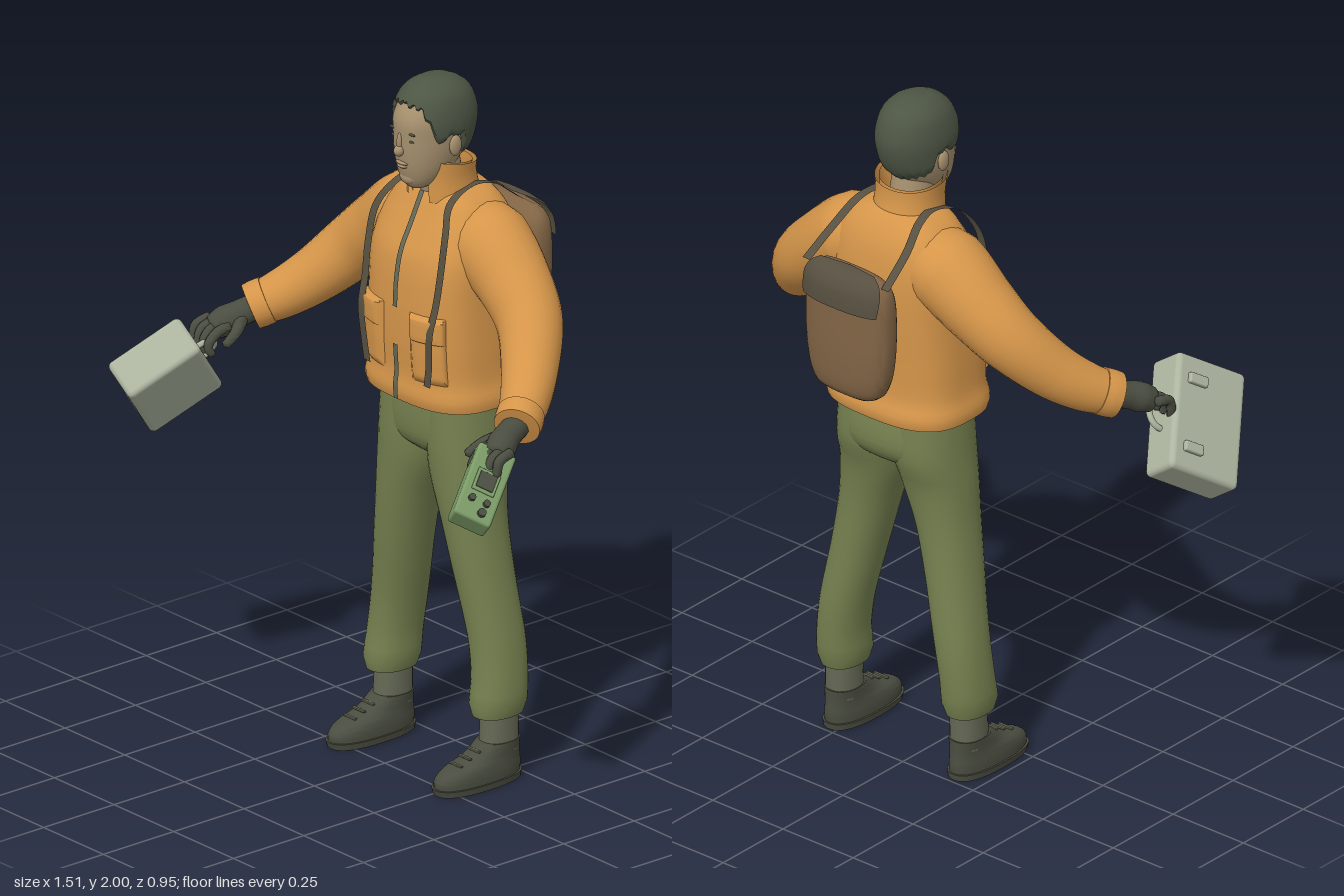
import * as THREE from 'three';
import { toCreasedNormals } from 'three/addons/utils/BufferGeometryUtils.js';
import { RoundedBoxGeometry } from 'three/addons/geometries/RoundedBoxGeometry.js';
import { ParametricGeometry } from 'three/addons/geometries/ParametricGeometry.js';

const CX = 0.05; // body centre line
const V = (x, y, z) => new THREE.Vector3(x, y, z);

function material(name, color) {
  const m = new THREE.MeshStandardMaterial({ color, side: THREE.DoubleSide });
  m.name = name;
  return m;
}

// Cross-section rows are [y, offset of centre in x, front z, back z, half width]
function section(rows, y) {
  const n = rows.length - 1;
  let i = 0;
  while (i < n - 1 && y > rows[i + 1][0]) i++;
  const h = rows[i + 1][0] - rows[i][0];
  const t = THREE.MathUtils.clamp((y - rows[i][0]) / h, 0, 1);
  const slope = (k, c) => {
    const a = rows[Math.max(k - 1, 0)], b = rows[Math.min(k + 1, n)];
    return (b[c] - a[c]) / (b[0] - a[0]);
  };
  return [1, 2, 3, 4].map((c) => {
    const t2 = t * t, t3 = t2 * t;
    return rows[i][c] * (2 * t3 - 3 * t2 + 1) + rows[i + 1][c] * (3 * t2 - 2 * t3)
      + h * (slope(i, c) * (t3 - 2 * t2 + t) + slope(i + 1, c) * (t3 - t2));
  });
}

const bend = (v, n) => Math.sign(v) * Math.pow(Math.abs(v), 2 / n);

// Part of a lofted surface; rule(u, v) gives [angle, y, outward offset, scale, lift]
function patch(rows, n, rule, su, sv, crease = 0.9) {
  const g = new ParametricGeometry((u, v, out) => {
    const [a, y, off = 0, k = 1, lift = 0] = rule(u, v);
    const [c, zf, zb, rx] = section(rows, y);
    out.set(CX + c + k * (rx * bend(Math.sin(a), n) + off * Math.sin(a)), y + lift,
      (zf + zb) / 2 + k * ((zf - zb) / 2 * bend(Math.cos(a), n) + off * Math.cos(a)));
  }, su, sv);
  return toCreasedNormals(g, crease);
}

// Closed loft with flat ends
function loft(rows, n = 2.2, sides = 32, steps = 28) {
  const y0 = rows[0][0], y1 = rows[rows.length - 1][0];
  return patch(rows, n, (u, v) => {
    const k = v * (steps + 2);
    const t = THREE.MathUtils.clamp((k - 1) / steps, 0, 1);
    return [u * Math.PI * 2, y0 + (y1 - y0) * t, 0, k < 0.5 || k > steps + 1.5 ? 0 : 1];
  }, sides, steps + 2);
}

// Tube of changing radius with closed ends
function limb(points, radii, segments = 24, sides = 16) {
  const curve = new THREE.CatmullRomCurve3(points);
  const g = new THREE.TubeGeometry(curve, segments, 1, sides);
  const p = g.attributes.position, v = V(), last = radii.length - 1;
  for (let i = 0; i <= segments; i++) {
    const u = i / segments, c = curve.getPointAt(u), f = curve.getUtoTmapping(u) * last;
    const k = Math.min(Math.floor(f), last - 1);
    const r = i % segments === 0 ? 0 : THREE.MathUtils.lerp(radii[k], radii[k + 1], f - k);
    for (let j = 0; j <= sides; j++) {
      const id = i * (sides + 1) + j;
      v.fromBufferAttribute(p, id).sub(c).multiplyScalar(r).add(c);
      p.setXYZ(id, v.x, v.y, v.z);
    }
  }
  return toCreasedNormals(g, 1.2);
}

// Flat band following a path, spread in x
function ribbon(points, width, steps = 40) {
  const curve = new THREE.CatmullRomCurve3(points);
  return new ParametricGeometry((u, v, out) => {
    curve.getPoint(1 - v, out);
    out.x += (u - 0.5) * width;
  }, 1, steps);
}

const torso = [[1.085, 0, -0.005, -0.335, 0.222], [1.11, 0, 0.002, -0.34, 0.225], [1.16, 0, -0.005, -0.325, 0.212],
  [1.26, 0, 0, -0.325, 0.208], [1.38, 0, 0, -0.33, 0.205], [1.5, 0, -0.014, -0.33, 0.205], [1.58, 0, -0.05, -0.32, 0.195],
  [1.63, 0, -0.075, -0.305, 0.17], [1.665, 0, -0.09, -0.285, 0.14], [1.688, 0, -0.105, -0.265, 0.1]];
const headRows = [[1.695, 0, -0.05, -0.11, 0.025], [1.71, 0, -0.034, -0.14, 0.046], [1.75, 0, -0.02, -0.185, 0.069],
  [1.8, 0, -0.012, -0.225, 0.083], [1.85, 0, -0.01, -0.245, 0.089], [1.9, 0, -0.012, -0.25, 0.09],
  [1.95, 0, -0.04, -0.232, 0.077], [1.975, 0, -0.068, -0.205, 0.055], [1.99, 0, -0.1, -0.17, 0.025]];
const packRows = [[1.19, 0, -0.38, -0.425, 0.07], [1.215, 0, -0.358, -0.455, 0.11], [1.3, 0, -0.345, -0.467, 0.138],
  [1.45, 0, -0.345, -0.467, 0.146], [1.53, 0, -0.355, -0.462, 0.14], [1.565, 0, -0.375, -0.445, 0.12], [1.582, 0, -0.395, -0.425, 0.09]];

// Point in front of the jacket, d from the centre line
function onFront(d, y, off = 0.01) {
  const [, zf, zb, rx] = section(torso, y);
  const q = Math.min(Math.abs(d) / rx, 0.98);
  return V(CX + d, y, (zf + zb) / 2 + (zf - zb) / 2 * Math.pow(1 - Math.pow(q, 2.8), 1 / 2.8) + off);
}

export function createModel() {
  const root = new THREE.Group();
  root.name = 'fieldWorker';
  const skin = material('skin', 0xa6906e), hair = material('hair', 0x4d5544), orange = material('jacketOrange', 0xd6964a);
  const olive = material('trouserOlive', 0x75804f), dark = material('gloveAndShoeDark', 0x4a4d40);
  const pale = material('casePale', 0xadb5a0), green = material('deviceGreen', 0x7a9a66);
  const brown = material('packBrown', 0x816445), strapMat = material('strapBrown', 0x575041), grey = material('zipGrey', 0x646854);

  const add = (name, geo, mat, parent = root, pos) => {
    const m = new THREE.Mesh(geo, mat);
    m.name = name;
    if (pos) m.position.set(...pos);
    parent.add(m);
    return m;
  };
  const ball = (name, mat, pos, size) => add(name, new THREE.SphereGeometry(1, 16, 12), mat, root, pos).scale.set(...size);
  const box = (name, size, mat, parent, pos, r = 0.008) => add(name, new RoundedBoxGeometry(...size, 3, r), mat, parent, pos);

  // Head and face
  add('head', loft(headRows, 2.1), skin);
  add('neck', loft([[1.64, 0, -0.1, -0.23, 0.06], [1.8, 0, -0.07, -0.2, 0.06]], 2, 24, 6), skin);
  ball('nose', skin, [CX, 1.813, -0.008], [0.014, 0.016, 0.016]);
  ball('noseBridge', skin, [CX, 1.838, -0.012], [0.008, 0.028, 0.011]);
  ball('upperLip', skin, [CX, 1.776, -0.019], [0.024, 0.006, 0.011]);
  ball('lowerLip', skin, [CX, 1.766, -0.021], [0.02, 0.006, 0.012]);
  ball('chin', skin, [CX, 1.728, -0.04], [0.03, 0.02, 0.017]);
  for (const s of [-1, 1]) {
    ball('eye', hair, [CX + s * 0.035, 1.846, -0.0205], [0.012, 0.0035, 0.004]);
    ball('eyebrow', hair, [CX + s * 0.036, 1.868, -0.0195], [0.018, 0.0035, 0.004]);
    ball('ear', skin, [CX + s * 0.093, 1.825, -0.13], [0.011, 0.03, 0.02]);
  }

  // Short hair with a slightly ragged hairline
  const line = [[0, 1.94], [0.6, 1.935], [0.9, 1.9], [1.2, 1.83], [1.4, 1.855], [1.75, 1.85], [2.0, 1.79], [3.2, 1.765]];
  add('hair', patch(headRows, 2.1, (u, v) => {
    const a = (u - 0.5) * Math.PI * 2, b = Math.abs(a);
    let i = 0;
    while (b > line[i + 1][0]) i++;
    const low = THREE.MathUtils.mapLinear(b, line[i][0], line[i + 1][0], line[i][1], line[i + 1][1]) + 0.005 * Math.sin(b * 22);
    const y = Math.min(low + (1.99 - low) * v / 0.95, 1.99);
    return [a, y, 0.011 * Math.min(1, v * 12), v > 0.99 ? 0 : 1, 0.01 * THREE.MathUtils.clamp((y - 1.92) / 0.07, 0, 1)];
  }, 96, 20, 0.8), hair);

  // Jacket body, open collar and zip
  add('jacketBody', loft(torso, 2.8, 48, 36), orange);
  const collarRows = [[1.655, 0, -0.07, -0.265, 0.1], [1.72, 0, -0.07, -0.25, 0.097], [1.785, 0, -0.065, -0.248, 0.106]];
  for (const off of [0, -0.012]) {
    add('collar', patch(collarRows, 2.1, (u, v) => {
      const a = 0.42 + u * (Math.PI * 2 - 0.84);
      return [a, 1.655 + v * (0.112 + 0.014 * Math.cos(a)), off];
    }, 40, 8), orange);
  }
  for (const [y0, y1] of [[1.675, 1.36], [1.25, 1.09]]) {
    add('zip', ribbon([0, 0.25, 0.5, 0.75, 1].map((t) => onFront(0, y0 + (y1 - y0) * t, 0.006)), 0.018), grey);
  }
  for (const s of [-1, 1]) {
    // Padded pockets and their flaps
    for (const [name, y0, y1, puff] of [['pocket', 1.16, 1.33, 0.014], ['pocketFlap', 1.28, 1.36, 0.022]]) {
      add(name, patch(torso, 2.8, (u, v) => {
        const edge = Math.min(1, 9 * Math.min(u, 1 - u, v, 1 - v));
        return [s * 0.48 + (u - 0.5) * 0.66, y0 + (y1 - y0) * v, -0.002 + puff * edge];
      }, 20, 20), orange);
    }

    // Sleeve and cuff
    const P = (d, y, z) => V(CX + s * d, y, z);
    add('sleeve', limb([P(0.06, 1.56, -0.2), P(0.16, 1.538, -0.195), P(0.27, 1.462, -0.188), P(0.36, 1.385, -0.165),
      P(0.45, 1.285, -0.09), P(0.51, 1.228, -0.02), P(0.56, 1.193, 0.05)],
    [0.1, 0.119, 0.104, 0.092, 0.078, 0.068, 0.056], 48, 24), orange);
    add('cuff', limb([P(0.528, 1.215, 0.005), P(0.545, 1.203, 0.028), P(0.56, 1.192, 0.05)], [0.066, 0.067, 0.064], 12, 24), orange);

    // Gloved hand
    add('palm', limb([P(0.545, 1.2, 0.02), P(0.565, 1.18, 0.085), P(0.58, 1.165, 0.12), P(0.595, 1.145, 0.155)],
      [0.036, 0.038, 0.043, 0.034], 20), dark);
    for (let i = 0; i < 4; i++) {
      const d = 0.548 + 0.028 * i;
      add('finger', limb([P(d, 1.165, 0.125), P(d + 0.004, 1.15, 0.175), P(d + 0.004, 1.12, 0.202 - 0.006 * i), P(d - 0.004, 1.09, 0.19)],
        [0.015, 0.0145, 0.013, 0.011], 16, 10), dark);
    }
    add('thumb', limb([P(0.545, 1.175, 0.09), P(0.515, 1.155, 0.135), P(0.505, 1.13, 0.185)], [0.02, 0.016, 0.012], 16, 10), dark);

    // Trouser leg
    add('trouserLeg', loft([[0.195, 0.222, -0.095, -0.245, 0.056], [0.22, 0.222, -0.087, -0.255, 0.066], [0.3, 0.219, -0.097, -0.262, 0.065],
      [0.4, 0.205, -0.1, -0.265, 0.067], [0.5, 0.185, -0.092, -0.26, 0.07], [0.6, 0.165, -0.08, -0.255, 0.073],
      [0.75, 0.135, -0.065, -0.255, 0.082], [0.88, 0.108, -0.055, -0.272, 0.1], [0.96, 0.1, -0.05, -0.3, 0.1],
      [1.1, 0.09, -0.05, -0.3, 0.1]].map((r) => [r[0], s * r[1], r[2], r[3], r[4]])), olive);

    // Ankle, shoe, sole and laces
    const c = s * 0.222;
    add('ankle', loft([[0.09, c, -0.115, -0.232, 0.046], [0.23, c, -0.125, -0.23, 0.047]], 2.2, 24, 4), grey);
    add('shoe', loft([[0.015, c, 0.046, -0.238, 0.056], [0.045, c, 0.043, -0.24, 0.056], [0.065, c, 0.015, -0.238, 0.053],
      [0.085, c, -0.05, -0.236, 0.049], [0.12, c, -0.108, -0.236, 0.048]], 2.3), dark);
    add('sole', loft([[0.003, c, 0.046, -0.24, 0.058], [0.022, c, 0.052, -0.243, 0.061]], 2.4, 32, 2), dark);
    for (let i = 0; i < 3; i++) {
      box('lace', [0.05, 0.006, 0.009], grey, root, [CX + c, 0.079 + 0.013 * i, -0.022 - 0.032 * i], 0.002);
    }

    // Shoulder strap from the pack over the shoulder and down the chest
    add('strap', ribbon([P(0.14, 1.565, -0.43), P(0.128, 1.635, -0.325), P(0.11, 1.69, -0.25), P(0.1, 1.7, -0.18), P(0.115, 1.665, -0.09),
      P(0.145, 1.6, -0.05), ...[[0.152, 1.5, 0.015], [0.148, 1.4, 0.016], [0.143, 1.32, 0.028], [0.135, 1.22, 0.022], [0.125, 1.16, 0.018]]
        .map(([d, y, o]) => onFront(s * d, y, o))], 0.027, 60), strapMat);
  }

  // Seat of the trousers
  add('trouserSeat', loft([[0.91, 0, -0.1, -0.23, 0.06], [0.945, 0, -0.06, -0.29, 0.165], [1.0, 0, -0.045, -0.315, 0.188],
    [1.11, 0, -0.045, -0.3, 0.185]], 2.4), olive);

  // Backpack with its lid
  add('backpack', loft(packRows, 2.6, 40, 30), brown);
  add('packLid', patch(packRows, 2.6, (u, v) => {
    const a = Math.PI + (u - 0.5) * (1.8 + v * 0.6);
    return [a, 1.475 + 0.107 * Math.min(1, v / 0.9), 0.012, v > 0.95 ? 0 : 1, 0.006];
  }, 28, 20), strapMat);

  // Held items are turned by two axes and a centre
  const held = (name, x, y, pos) => {
    const g = new THREE.Group(), ax = x.normalize(), az = V().crossVectors(ax, y).normalize();
    g.name = name;
    g.quaternion.setFromRotationMatrix(new THREE.Matrix4().makeBasis(ax, V().crossVectors(az, ax), az));
    g.position.copy(pos);
    root.add(g);
    return g;
  };

  // Carrying case with latches and handle
  const kit = held('carryingCase', V(-0.085, -0.12, 0.18), V(0.16, 0.22, 0.205), V(-0.59, 1.03, 0.28));
  box('caseBody', [0.235, 0.34, 0.122], pale, kit, [0, 0, 0], 0.016);
  for (const y of [-0.1, 0.1]) {
    box('latch', [0.062, 0.03, 0.02], pale, kit, [-0.05, y, 0.064], 0.005);
  }
  const grip = add('caseHandle', new THREE.TorusGeometry(0.045, 0.009, 8, 20, Math.PI), pale, kit, [-0.115, 0, 0]);
  grip.rotation.z = Math.PI / 2;

  // Hand-held device with screen, buttons and knob
  const meter = held('handheldDevice', V(0.09, -0.13, 0.17), V(0.07, -0.05, -0.07), V(0.665, 1.075, 0.22));
  box('deviceBody', [0.235, 0.11, 0.07], green, meter, [0, 0, 0], 0.009);
  box('screenFrame', [0.07, 0.066, 0.01], green, meter, [-0.005, 0, 0.036], 0.003);
  box('screen', [0.052, 0.05, 0.008], dark, meter, [-0.005, 0, 0.039], 0.002);
  for (const [x, y, r] of [[0.058, 0.022, 0.01], [0.058, -0.022, 0.01], [0.09, 0.018, 0.012]]) {
    add('button', new THREE.CylinderGeometry(r, r, 0.014, 14), dark, meter, [x, y, 0.039]).rotation.x = Math.PI / 2;
  }
  return root;
}
